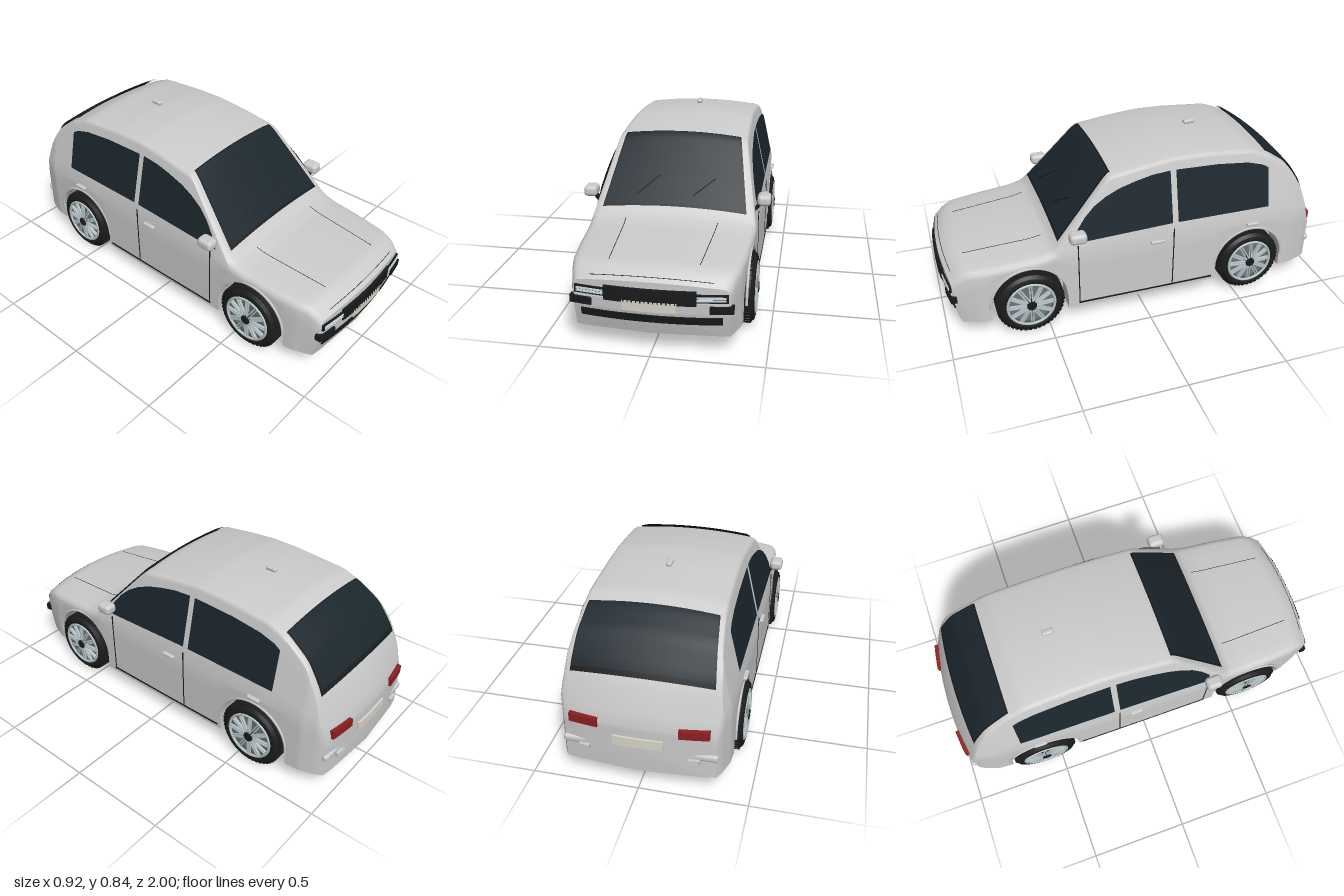
import * as THREE from 'three';
import { mergeGeometries, toCreasedNormals } from 'three/addons/utils/BufferGeometryUtils.js';
import { RoundedBoxGeometry } from 'three/addons/geometries/RoundedBoxGeometry.js';

const mat = (color, side = THREE.FrontSide) => new THREE.MeshStandardMaterial({ color, side });
const GREY = mat(0xcccccc), BLACK = mat(0x1a1b1d, THREE.DoubleSide), GLASS = mat(0x1b262d, THREE.DoubleSide);
const TYRE = mat(0x1c1c1c, THREE.DoubleSide), RIM = mat(0xb9c5c9), RIMDARK = mat(0x6d777b, THREE.DoubleSide);
const RED = mat(0x8e2020), LAMP = mat(0xcfe0e4), PLATE = mat(0xdad8ca);

// Piecewise linear curve through [z, value] knots
const curve = (knots) => (z) => {
  if (z <= knots[0][0]) return knots[0][1];
  for (let i = 1; i < knots.length; i++) {
    const [a, u] = knots[i - 1], [b, v] = knots[i];
    if (z <= b) return u + (v - u) * (z - a) / (b - a);
  }
  return knots[knots.length - 1][1];
};
const profile = curve([[-0.985, 0.31], [-0.97, 0.39], [-0.905, 0.545], [-0.8, 0.68], [-0.69, 0.755], [-0.595, 0.795],
  [-0.34, 0.817], [-0.18, 0.82], [-0.02, 0.803], [0.165, 0.775], [0.46, 0.448], [0.54, 0.427], [0.9, 0.397], [0.955, 0.375], [0.985, 0.34]]);
const top = (z) => (profile(z - 0.02) + 2 * profile(z) + profile(z + 0.02)) / 4;
const halfWidth = curve([[-0.985, 0.345], [-0.95, 0.366], [-0.85, 0.39], [-0.6, 0.402], [0, 0.405], [0.45, 0.403],
  [0.7, 0.39], [0.85, 0.375], [0.95, 0.355], [0.985, 0.342]]);
const edge = curve([[0.2, 0.02], [0.45, 0.035]]);
const CROWN = 0.02, FLOOR = 0.09, ARCH = 0.19, AXLE_Y = 0.17, AXLES = [-0.58, 0.593], END = 0.985;
const sideX = (y, z) => halfWidth(z) - 0.227 * Math.max(0, y - 0.4);
const crownX = (z) => sideX(top(z) - CROWN, z) - edge(z);
const topY = (x, z) => top(z) - CROWN * (x / crownX(z)) ** 2;

// Bows both ends in plan and tucks the lower nose back
const bend = (x, y, z) => {
  const w = THREE.MathUtils.smoothstep(Math.abs(z), 0.8, END);
  const tuck = z > 0 ? 0.03 * Math.max(0, (0.22 - y) / 0.13) : 0;
  return new THREE.Vector3(x, y, z - Math.sign(z) * w * (0.034 * (x / 0.36) ** 2 + tuck));
};
function bendGeometry(g) {
  const p = g.attributes.position;
  for (let i = 0; i < p.count; i++) p.setXYZ(i, ...bend(p.getX(i), p.getY(i), p.getZ(i)).toArray());
  g.computeVertexNormals();
  return g;
}
// Triangulated grid of point rows
function grid(rows) {
  const n = rows[0].length, idx = [];
  for (let k = 0; k < rows.length - 1; k++) for (let i = 0; i < n - 1; i++) {
    const a = k * n + i, d = a + n;
    idx.push(a, a + 1, d + 1, a, d + 1, d);
  }
  const g = new THREE.BufferGeometry().setFromPoints(rows.flat());
  g.setIndex(idx);
  g.computeVertexNormals();
  return g;
}

// One closed body section, including the wheel wells
function section(z, scale = 1) {
  const axle = AXLES.find((c) => Math.abs(z - c) < ARCH);
  const low = axle === undefined ? FLOOR : AXLE_Y + Math.sqrt(ARCH ** 2 - (z - axle) ** 2);
  const e = edge(z), eaves = top(z) - CROWN, shoulder = eaves - e, mid = Math.min(0.4, shoulder), cx = crownX(z);
  const half = [[0, FLOOR], [0.29, FLOOR], [0.29, low]];
  for (let i = 0; i <= 4; i++) { const y = low + (mid - low) * i / 4; half.push([sideX(y, z), y]); }
  for (let i = 1; i <= 4; i++) { const y = mid + (shoulder - mid) * i / 4; half.push([sideX(y, z), y]); }
  const sx = sideX(shoulder, z);
  for (const a of [0.52, 1.05]) half.push([cx + (sx - cx) * Math.cos(a), shoulder + e * Math.sin(a)]);
  for (let i = 0; i <= 6; i++) { const x = cx * (1 - i / 6); half.push([x, topY(x, z)]); }
  const ring = [...half, ...half.slice(0, -1).reverse().map(([x, y]) => [-x, y])];
  return ring.map(([x, y]) => bend(x * scale, 0.22 + (y - 0.22) * scale, z));
}
function bodyGeometry() {
  const zs = [];
  for (let i = 0; i <= 100; i++) zs.push(-END + 2 * END * i / 100);
  for (const c of AXLES) {
    zs.push(c - ARCH - 0.0002, c + ARCH + 0.0002);
    for (let i = 0; i <= 20; i++) zs.push(c + (ARCH - 0.0002) * Math.cos(Math.PI * i / 20));
  }
  zs.sort((a, b) => a - b);
  const caps = [0, 0.2, 0.4, 0.6, 0.8];
  const rows = [...caps.map((s) => section(-END, s)), ...zs.map((z) => section(z)), ...caps.reverse().map((s) => section(END, s))];
  return toCreasedNormals(grid(rows), 0.6);
}

// Glass laid over the top surface between two z positions
function topPatch(z0, w0, z1, w1, lift) {
  const rows = [];
  for (let k = 0; k <= 20; k++) {
    const z = z0 + (z1 - z0) * k / 20, w = w0 + (w1 - w0) * k / 20, row = [];
    for (let i = 0; i <= 12; i++) { const x = w * (1 - i / 6); row.push(bend(x, topY(x, z) + lift, z)); }
    rows.push(row);
  }
  return grid(rows);
}
// Glass laid over the side, outlined by [z, y] points
function sidePatch(points, s, lift) {
  const g = new THREE.ShapeGeometry(new THREE.Shape(points.map((p) => new THREE.Vector2(...p))));
  const p = g.attributes.position;
  for (let i = 0; i < p.count; i++) { const z = p.getX(i), y = p.getY(i); p.setXYZ(i, s * (sideX(y, z) + lift), y, z); }
  g.computeVertexNormals();
  return g;
}
// Thin line following the top surface from [x, z] to [x, z]
function topLine([x0, z0], [x1, z1], r, lift) {
  const pts = [];
  for (let i = 0; i <= 16; i++) {
    const x = x0 + (x1 - x0) * i / 16, z = z0 + (z1 - z0) * i / 16;
    pts.push(bend(x, topY(x, z) + lift, z));
  }
  return new THREE.TubeGeometry(new THREE.CatmullRomCurve3(pts), 24, r, 5);
}

function makeWheel() {
  const wheel = new THREE.Group();
  const put = (name, g, m) => { const o = new THREE.Mesh(g, m); o.name = name; wheel.add(o); };
  const lathe = (pts) => new THREE.LatheGeometry(pts.map((p) => new THREE.Vector2(...p)), 48).rotateZ(-Math.PI / 2);
  put('tyre', toCreasedNormals(lathe([[0.118, -0.055], [0.15, -0.055], [0.164, -0.038], [0.166, 0], [0.164, 0.038],
    [0.15, 0.052], [0.135, 0.056], [0.118, 0.05]]), 0.5), TYRE);
  put('wheelDisc', lathe([[0.001, -0.05], [0.12, -0.05], [0.12, 0.05], [0.108, 0.03], [0.001, 0.034]]), RIMDARK);
  put('rimRing', new THREE.TorusGeometry(0.117, 0.007, 8, 48).rotateY(Math.PI / 2).translate(0.052, 0, 0), RIM);
  put('hub', new THREE.CylinderGeometry(0.024, 0.03, 0.03, 20).rotateZ(-Math.PI / 2).translate(0.051, 0, 0), BLACK);
  const spokes = [], treads = [];
  for (let i = 0; i < 12; i++) for (const t of [-0.006, 0.006])
    spokes.push(new THREE.BoxGeometry(0.012, 0.095, 0.006).rotateZ(0.08).translate(0.053, 0.07, t).rotateX(i * Math.PI / 6));
  for (let i = 0; i < 44; i++) for (const t of [-1, 0, 1])
    treads.push(new THREE.BoxGeometry(0.022, 0.008, 0.014).translate(t * 0.026, 0.166, 0).rotateX((i + t * t / 2) * Math.PI / 22));
  put('spokes', mergeGeometries(spokes), RIM);
  put('tread', mergeGeometries(treads), TYRE);
  return wheel;
}

export function createModel() {
  const car = new THREE.Group();
  car.name = 'car';
  const add = (name, g, m = GREY) => { const o = new THREE.Mesh(g, m); o.name = name; car.add(o); return o; };
  const box = (name, w, h, d, x, y, z, m) => add(name, new THREE.BoxGeometry(w, h, d).translate(x, y, z), m);
  const rounded = (name, w, h, d, x, y, z, r, m) => add(name, new RoundedBoxGeometry(w, h, d, 3, r).translate(x, y, z), m);
  // Bar wrapped on the nose (end 1) or the tail (end -1)
  const endBar = (name, end, w, h, d, x, y, m) =>
    add(name, bendGeometry(new THREE.BoxGeometry(w, h, d, 16, 1, 1).translate(x, y, end * END)), m);

  add('body', bodyGeometry());

  // Front and rear glass
  add('windshieldSeal', topPatch(0.15, 0.29, 0.435, 0.352, 0.007), BLACK);
  add('windshield', topPatch(0.16, 0.28, 0.428, 0.343, 0.012), GLASS);
  add('rearWindowSeal', topPatch(-0.91, 0.325, -0.672, 0.298, 0.009), BLACK);
  add('rearWindow', topPatch(-0.9, 0.317, -0.68, 0.292, 0.015), GLASS);
  for (const x of [-0.185, 0.09]) add('wiper', topLine([x, 0.4], [x + 0.1, 0.332], 0.003, 0.017), BLACK);

  // Nose
  endBar('grille', 1, 0.4, 0.066, 0.024, 0, 0.283, BLACK);
  for (let i = -10; i <= 10; i++) endBar('grilleSlat', 1, 0.005, 0.058, 0.032, i * 0.0185, 0.283, BLACK);
  endBar('frontBumper', 1, 0.67, 0.05, 0.01, 0, 0.232, GREY);
  endBar('frontPlate', 1, 0.236, 0.046, 0.03, 0, 0.237, PLATE);
  endBar('lowerIntake', 1, 0.62, 0.036, 0.014, 0, 0.172, BLACK);
  add('hoodSeam', topLine([-0.27, 0.966], [0.27, 0.966], 0.0015, 0), BLACK);

  // Tail
  add('rearBumper', bendGeometry(new RoundedBoxGeometry(0.71, 0.036, 0.03, 4, 0.014).translate(0, 0.2, -END)));
  endBar('rearPlate', -1, 0.23, 0.048, 0.018, 0, 0.25, PLATE);

  rounded('roofAntenna', 0.028, 0.022, 0.06, 0, 0.829, -0.375, 0.009);

  const frontWindow = [[0.342, 0.465], [-0.145, 0.48], [-0.145, 0.745], [-0.05, 0.738], [0.03, 0.722], [0.12, 0.698],
    [0.19, 0.668], [0.25, 0.632], [0.3, 0.585], [0.345, 0.525]];
  const rearWindow = [[-0.175, 0.48], [-0.675, 0.475], [-0.675, 0.68], [-0.64, 0.7], [-0.56, 0.722], [-0.4, 0.738], [-0.175, 0.745]];
  for (const s of [1, -1]) {
    add('frontSideWindow', sidePatch(frontWindow, s, 0.01), GLASS);
    add('rearSideWindow', sidePatch(rearWindow, s, 0.01), GLASS);

    // Door seams, sill and handles
    for (const z of [0.345, -0.15]) box('doorSeam', 0.004, 0.33, 0.005, s * sideX(0.4, z), 0.285, z, BLACK);
    box('sillSeam', 0.006, 0.008, 0.72, s * 0.404, 0.112, -0.01, BLACK);
    for (const z of [-0.06, -0.585]) rounded('doorHandle', 0.022, 0.016, 0.07, s * (halfWidth(z) + 0.006), 0.396, z, 0.006);

    // Door mirror
    rounded('mirrorHousing', 0.066, 0.054, 0.085, s * 0.429, 0.517, 0.352, 0.02);
    const arm = box('mirrorArm', 0.05, 0.014, 0.03, 0, 0, 0, BLACK);
    arm.position.set(s * 0.4, 0.482, 0.352);
    arm.rotation.z = s * 0.9;

    // Lamps and hood crease
    endBar('headlightFrame', 1, 0.135, 0.036, 0.018, s * 0.267, 0.284, BLACK);
    for (const y of [0.278, 0.29]) endBar('headlight', 1, 0.122, 0.009, 0.026, s * 0.264, y, LAMP);
    endBar('fogLight', 1, 0.1, 0.034, 0.03, s * 0.307, 0.233, BLACK);
    endBar('tailLight', -1, 0.135, 0.042, 0.024, s * 0.25, 0.325, RED);
    endBar('bumperPod', -1, 0.05, 0.024, 0.034, s * 0.25, 0.18, GREY);
    add('hoodCrease', topLine([s * 0.222, 0.49], [s * 0.2, 0.88], 0.0015, 0), BLACK);

    // Wheels and arch lips
    AXLES.forEach((z, i) => {
      const wheel = makeWheel();
      wheel.name = i ? 'frontWheel' : 'rearWheel';
      wheel.position.set(s * 0.368, AXLE_Y, z);
      if (s < 0) wheel.rotation.y = Math.PI;
      car.add(wheel);
      const lip = new THREE.TorusGeometry(ARCH + 0.003, 0.007, 6, 32, Math.PI).rotateY(Math.PI / 2);
      add('archLip', lip.translate(s * (halfWidth(z) - 0.002), AXLE_Y, z));
    });
  }
  return car;
}
